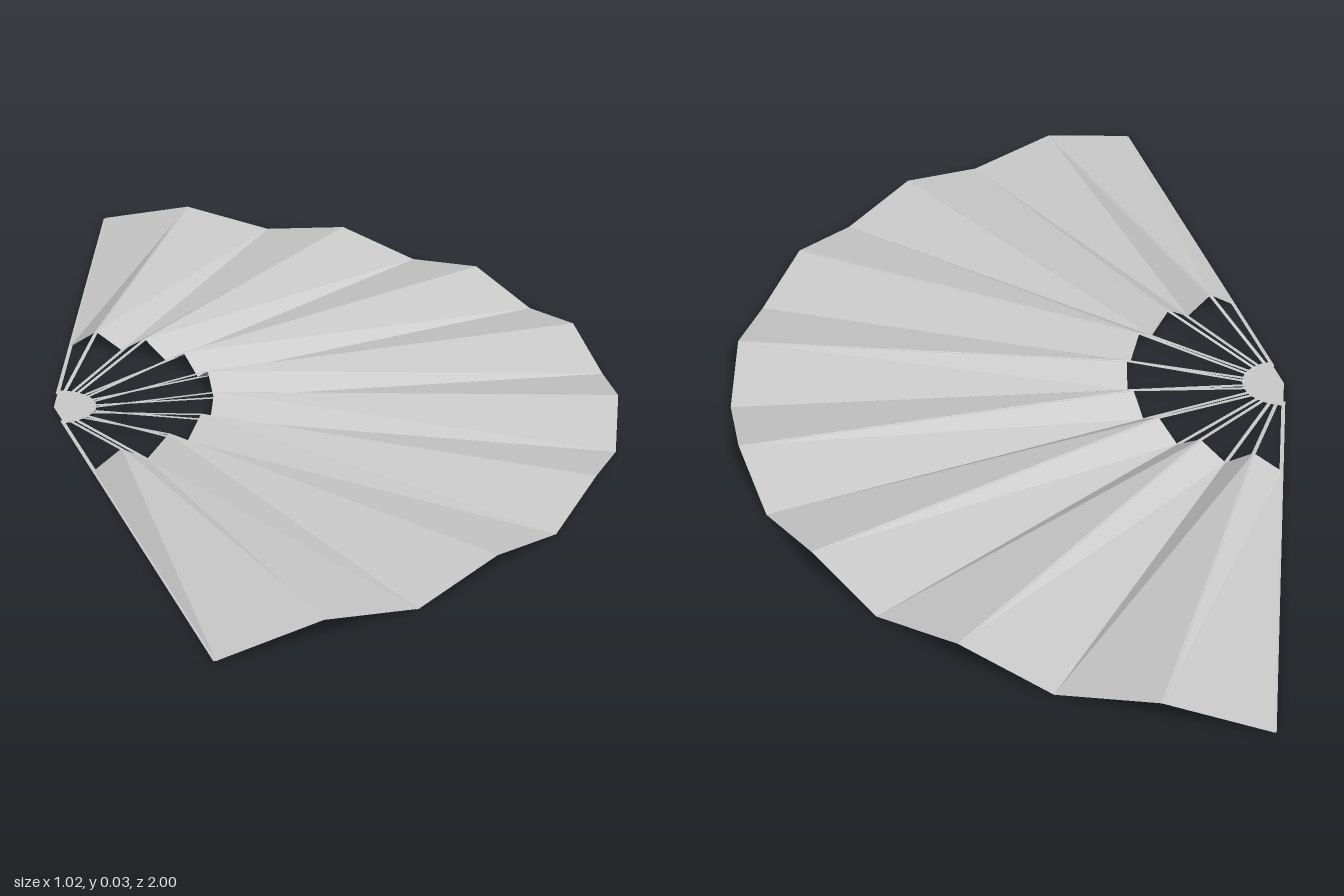
import * as THREE from 'three';

const FOLDS = 16, SPREAD = THREE.MathUtils.degToRad(160);
const HUB_R = 0.077, INNER_R = 0.29, OUTER_R = 1.0154;
const HEIGHT = 0.033, PIVOT_X = -0.507;

const angleAt = (i) => -SPREAD / 2 + (SPREAD * i) / FOLDS;
// even folds are valleys, odd folds are ridges
const liftAt = (i) => (i % 2 ? HEIGHT : 0.001);

// surface between two rows of points, facing up
function ribbon(rowA, rowB) {
  const positions = [], index = [];
  rowA.forEach((p, i) => positions.push(...p, ...rowB[i]));
  for (let i = 0; i < rowA.length - 1; i++) {
    const k = i * 2;
    index.push(k, k + 2, k + 1, k + 1, k + 2, k + 3);
  }
  const g = new THREE.BufferGeometry();
  g.setAttribute('position', new THREE.Float32BufferAttribute(positions, 3));
  g.setIndex(index);
  g.computeVertexNormals();
  return g;
}

export function createModel() {
  const fan = new THREE.Group();
  fan.name = 'foldingFan';
  const material = new THREE.MeshStandardMaterial({
    color: 0xcccccc, flatShading: true, side: THREE.DoubleSide,
  });
  const add = (geometry, name, parent = fan) => {
    const mesh = new THREE.Mesh(geometry, material);
    mesh.name = name;
    parent.add(mesh);
    return mesh;
  };

  // pleated leaf
  const inner = [], outer = [];
  for (let i = 0; i <= FOLDS; i++) {
    const a = angleAt(i), c = Math.cos(a), s = Math.sin(a), y = liftAt(i);
    inner.push([INNER_R * c, y, INNER_R * s]);
    outer.push([OUTER_R * c, y, OUTER_R * s]);
  }
  add(ribbon(outer, inner), 'pleatedLeaf');

  // thin ribs rising from the hub and running beneath each fold
  const ribs = new THREE.Group();
  ribs.name = 'ribs';
  fan.add(ribs);
  const half = 0.0035;
  for (let i = 0; i <= FOLDS; i++) {
    const y = liftAt(i) - 0.001;
    const path = [[HUB_R * 0.8, 0], [INNER_R, y], [OUTER_R - 0.002, y]];
    const side = (z) => path.map(([x, h]) => [x, h, z]);
    const rib = add(ribbon(side(half), side(-half)), 'rib', ribs);
    rib.rotation.y = -angleAt(i);
  }

  // flat hub plate joining the ribs
  const hub = new THREE.CircleGeometry(HUB_R, FOLDS, -SPREAD / 2, SPREAD);
  hub.rotateX(-Math.PI / 2);
  add(hub, 'hub').position.y = 0.001;

  fan.children.forEach((part) => { part.position.x = PIVOT_X; });
  return fan;
}
